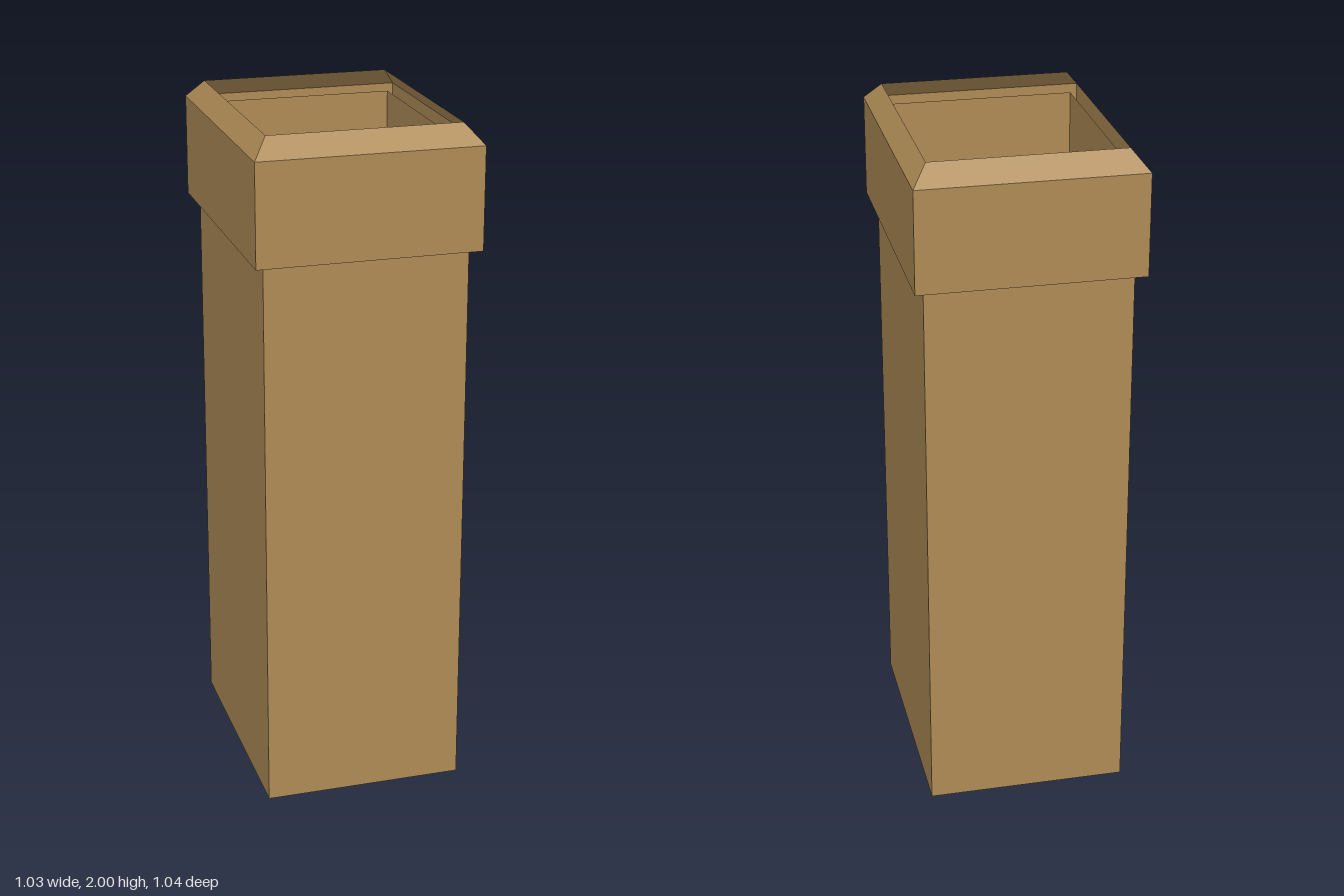
import * as THREE from 'three';

const WIDTH = 0.644, LENGTH = 0.825; // outer footprint of the collar

export function createModel() {
  const clay = new THREE.MeshStandardMaterial({ color: 0xad8a55, side: THREE.DoubleSide, flatShading: true });
  clay.name = 'tan clay';
  const model = new THREE.Group();
  model.name = 'chimneyPot';

  // Open four-sided sleeve; bottom and top are fractions of the footprint
  function sleeve(name, y0, y1, bottom, top) {
    const r = Math.SQRT1_2;
    const geo = new THREE.CylinderGeometry(r * top, r * bottom, y1 - y0, 4, 1, true);
    geo.rotateY(Math.PI / 4);
    geo.scale(WIDTH, 1, LENGTH);
    geo.translate(0, (y0 + y1) / 2, 0);
    const mesh = new THREE.Mesh(geo, clay);
    mesh.name = name;
    model.add(mesh);
  }

  sleeve('shaft', 0, 1.93, 0.911, 0.911);
  sleeve('collar', 1.65, 1.945, 1, 1);
  sleeve('bevelledRim', 1.945, 2, 1, 0.86);

  // The rectangular plan stands turned on its base
  model.rotation.y = 0.75;
  return model;
}
